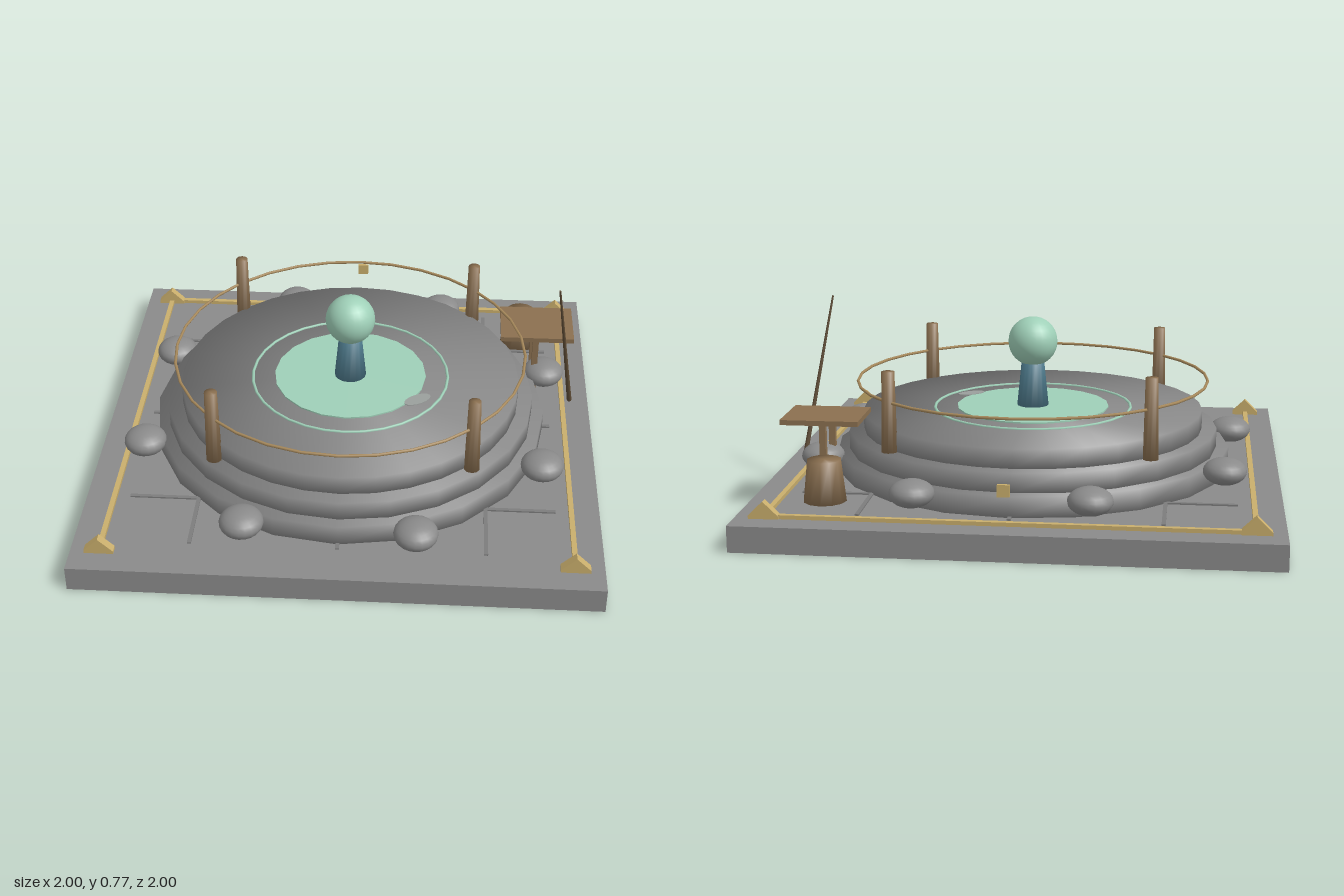
import * as THREE from 'three';

const mat = (name, color) => {
  const m = new THREE.MeshStandardMaterial({ color });
  m.name = name;
  return m;
};

export function createModel() {
  const stone = mat('stone grey', 0x8a8a8a);
  const groove = mat('groove grey', 0x7c7c7c);
  const mint = mat('mint', 0x9fd0b8);
  const blue = mat('slate blue', 0x4f7c8e);
  const gold = mat('gold', 0xc9ae6c);
  const rope = mat('rope tan', 0xa88a5c);
  const wood = mat('wood', 0x8b7050);
  const darkWood = mat('dark wood', 0x5c4a34);
  const pale = mat('pale grey', 0x9a9f9c);

  const root = new THREE.Group();
  root.name = 'shrinePool';

  const add = (name, geo, material, x = 0, y = 0, z = 0) => {
    const m = new THREE.Mesh(geo, material);
    m.name = name;
    m.position.set(x, y, z);
    root.add(m);
    return m;
  };
  const box = (name, material, w, h, d, x, y, z) =>
    add(name, new THREE.BoxGeometry(w, h, d), material, x, y, z);

  // Cylinder whose normals roll softly over the rims
  const softCylinder = (rTop, rBottom, h, sides) => {
    const g = new THREE.CylinderGeometry(rTop, rBottom, h, sides);
    const p = g.attributes.position, n = g.attributes.normal;
    const v = new THREE.Vector3();
    for (let i = 0; i < p.count; i++) {
      const r = Math.hypot(p.getX(i), p.getZ(i)), s = Math.sign(p.getY(i));
      if (r < 1e-5) v.set(0, s, 0);
      else v.set((p.getX(i) / r) * 0.84, s * 0.54, (p.getZ(i) / r) * 0.84).normalize();
      n.setXYZ(i, v.x, v.y, v.z);
    }
    return g;
  };
  const drum = (name, material, rTop, rBottom, y0, y1, sides, x = 0, z = 0) =>
    add(name, softCylinder(rTop, rBottom, y1 - y0, sides), material, x, (y0 + y1) / 2, z);

  // Ground slab with shallow line markings
  box('slab', stone, 2, 0.1, 2, 0, 0.05, 0);
  for (const c of [-0.56, 0, 0.56]) {
    box('grooveZ', groove, 0.015, 0.008, 1.66, c, 0.102, 0);
    box('grooveX', groove, 1.66, 0.008, 0.015, 0, 0.102, c);
  }

  // Three stacked stone tiers
  drum('lowerTier', stone, 0.8, 0.8, 0.1, 0.18, 20);
  drum('middleTier', stone, 0.75, 0.75, 0.18, 0.255, 24);
  drum('upperTier', stone, 0.69, 0.69, 0.255, 0.33, 32);

  // Inlaid disc and ring on the top tier
  const disc = new THREE.CylinderGeometry(0.31, 0.31, 0.006, 20);
  add('inlayDisc', disc, mint, 0, 0.333, 0);
  const ring = add('inlayRing', new THREE.TorusGeometry(0.4, 0.006, 6, 32), mint, 0, 0.331, 0);
  ring.rotation.x = Math.PI / 2;
  const fleck = add('fleck', new THREE.CylinderGeometry(0.06, 0.06, 0.003, 16), pale, 0.28, 0.3365, 0.17);
  fleck.scale.z = 0.5;
  fleck.rotation.y = 0.6;

  // Pedestal and orb
  drum('pedestal', blue, 0.045, 0.065, 0.33, 0.53, 16);
  add('orb', new THREE.SphereGeometry(0.1, 24, 16), mint, 0, 0.6, 0);

  // Boulders around the foot
  for (let i = 0; i < 8; i++) {
    const a = THREE.MathUtils.degToRad(25 + i * 45);
    const b = add('boulder', new THREE.SphereGeometry(1, 20, 12), stone,
      Math.cos(a) * 0.862, 0.178, Math.sin(a) * 0.862);
    b.scale.set(0.085, 0.052, 0.088);
  }

  // Posts and the rope hoop
  for (const x of [-0.5, 0.5])
    for (const z of [-0.5, 0.5]) drum('post', wood, 0.025, 0.031, 0.255, 0.57, 10, x, z);
  const hoop = add('ropeHoop', new THREE.TorusGeometry(0.71, 0.006, 6, 32), rope, 0, 0.45, 0);
  hoop.rotation.x = Math.PI / 2;

  // Gold rails on the sides and back, with triangular corner brackets
  for (const x of [-0.89, 0.89]) box('sideRail', gold, 0.02, 0.016, 1.78, x, 0.107, 0);
  box('backRail', gold, 1.78, 0.016, 0.02, 0, 0.107, -0.89);
  const tri = new THREE.Shape();
  tri.moveTo(-0.056, 0);
  tri.lineTo(0.056, 0);
  tri.lineTo(0.056, 0.012);
  tri.lineTo(0, 0.066);
  tri.lineTo(-0.056, 0.012);
  const bracket = new THREE.ExtrudeGeometry(tri, { depth: 0.034, bevelEnabled: false });
  bracket.translate(0, 0, -0.017);
  for (const x of [-0.89, 0.89])
    for (const z of [-0.89, 0.89]) add('cornerBracket', bracket, gold, x, 0.1, z);
  box('hangingTag', gold, 0.045, 0.045, 0.013, 0, 0.257, -0.977);

  // Table
  box('tableTop', wood, 0.306, 0.02, 0.246, 0.774, 0.36, -0.382);
  for (const z of [-0.295, -0.455]) box('tableLeg', wood, 0.025, 0.25, 0.025, 0.77, 0.225, z);

  // Bucket
  drum('bucket', wood, 0.065, 0.083, 0.1, 0.26, 12, 0.72, -0.65);

  // Leaning staff, tapered towards the tip
  const foot = new THREE.Vector3(0.92, 0.125, -0.167);
  const tip = new THREE.Vector3(0.826, 0.77, 0.013);
  const dir = tip.clone().sub(foot);
  const staff = add('staff', new THREE.CylinderGeometry(0.004, 0.01, dir.length(), 8), darkWood);
  staff.position.copy(foot).add(tip).multiplyScalar(0.5);
  staff.quaternion.setFromUnitVectors(new THREE.Vector3(0, 1, 0), dir.normalize());

  return root;
}
